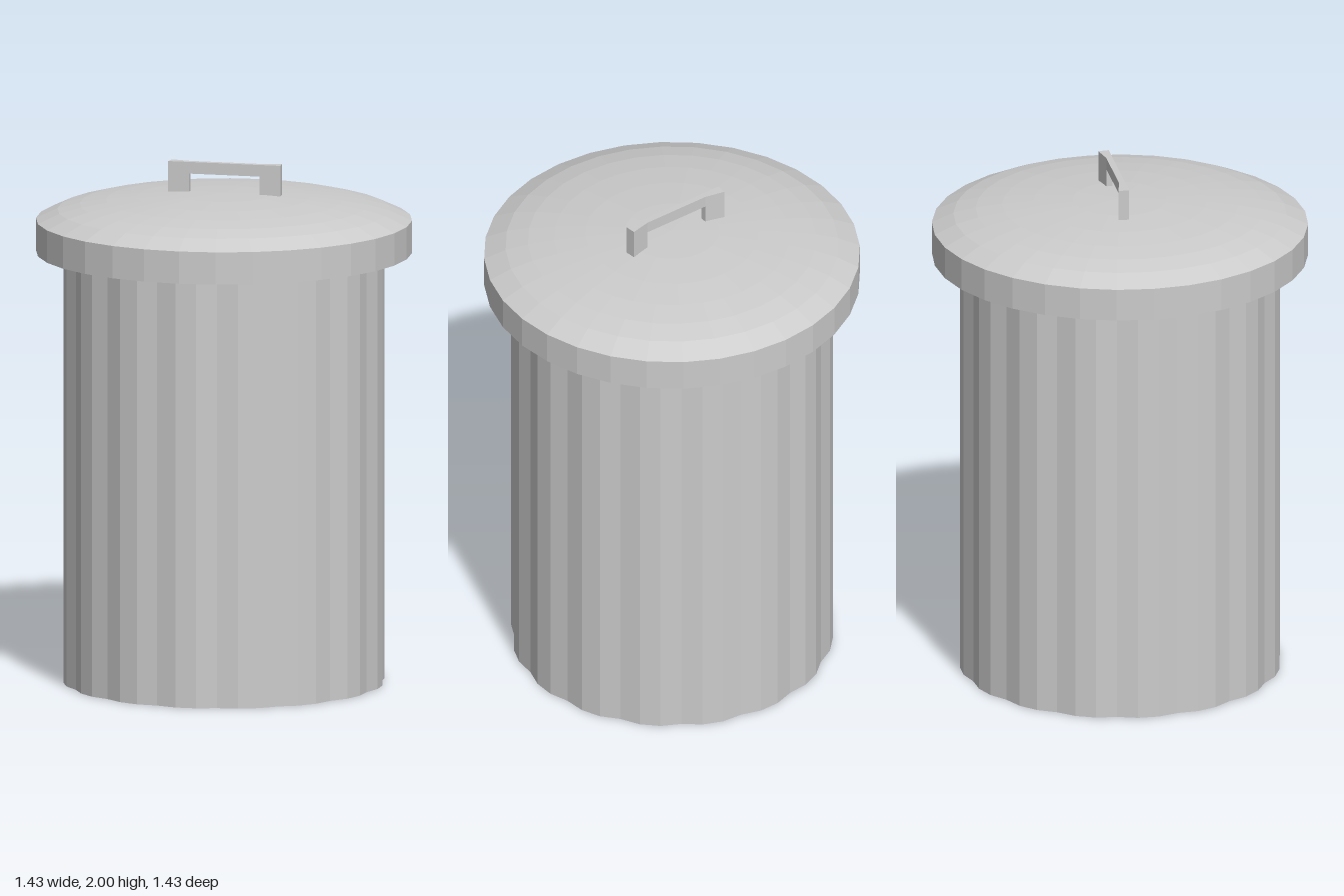
import * as THREE from 'three';

const material = new THREE.MeshStandardMaterial({ color: 0xcccccc, flatShading: true });

// Extrudes a plan outline of [x, depth towards the back] points upwards from y0 to y1.
function prism(name, points, y0, y1) {
  const shape = new THREE.Shape(points.map(([x, b]) => new THREE.Vector2(x, b)));
  const geometry = new THREE.ExtrudeGeometry(shape, { depth: y1 - y0, bevelEnabled: false });
  geometry.rotateX(-Math.PI / 2).translate(0, y0, 0);
  const mesh = new THREE.Mesh(geometry, material);
  mesh.name = name;
  return mesh;
}

export function createModel() {
  const bin = new THREE.Group();
  bin.name = 'bin';

  // Fluted body: 16 shallow grooves, one at every third corner
  const outline = [];
  for (let k = 0; k < 48; k++) {
    const a = ((k + 0.5) * Math.PI * 2) / 48;
    const r = k % 3 === 1 ? 0.6 : 0.614;
    outline.push([r * Math.sin(a), r * Math.cos(a)]);
  }
  bin.add(prism('body', outline, 0, 1.67));

  // Domed lid with an upright rim and a flat underside
  const profile = [
    [0, 1.66], [0.717, 1.66], [0.717, 1.785], [0.635, 1.823], [0.55, 1.845],
    [0.45, 1.861], [0.33, 1.874], [0.18, 1.884], [0, 1.888],
  ].map(([r, y]) => new THREE.Vector2(r, y));
  const lid = new THREE.Mesh(new THREE.LatheGeometry(profile, 32), material);
  lid.name = 'lid';
  bin.add(lid);

  // Handle: a bar that is thinner in the middle, on two short legs
  const handle = new THREE.Group();
  handle.name = 'handle';
  handle.add(prism('handleBar', [
    [-0.22, 0.004], [0.22, 0.004], [0.216, 0.045],
    [0.138, 0.028], [-0.138, 0.028], [-0.216, 0.045],
  ], 1.955, 2));
  for (const s of [-1, 1]) {
    handle.add(prism(s > 0 ? 'leftHandleLeg' : 'rightHandleLeg', [
      [s * 0.138, 0.004], [s * 0.22, 0.004], [s * 0.216, 0.045], [s * 0.138, 0.028],
    ], 1.87, 1.955));
  }
  bin.add(handle);

  return bin;
}
